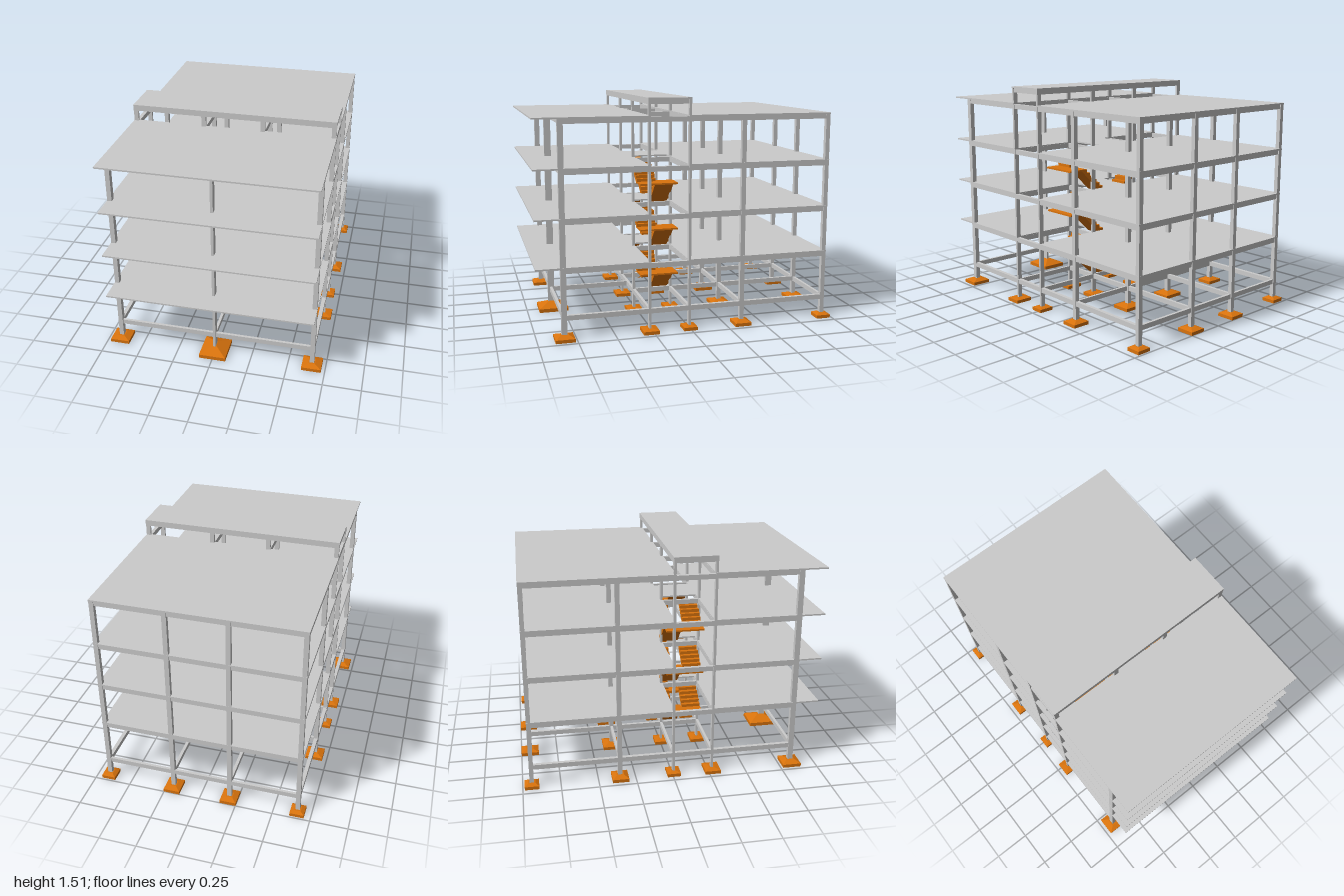
import * as THREE from 'three';

const grey = new THREE.MeshStandardMaterial({ color: 0xcccccc, flatShading: true });
const orange = new THREE.MeshStandardMaterial({ color: 0xd9730d, flatShading: true });

export function createModel() {
  const model = new THREE.Group();
  const parts = {};

  function add(group, name, geometry, material) {
    if (!parts[group]) {
      parts[group] = new THREE.Group();
      parts[group].name = group;
      model.add(parts[group]);
    }
    const mesh = new THREE.Mesh(geometry, material);
    mesh.name = name;
    parts[group].add(mesh);
    return mesh;
  }

  // Box given by its limits on each axis
  function block(group, name, [x0, x1], [y0, y1], [z0, z1], material = grey) {
    const mesh = add(group, name, new THREE.BoxGeometry(x1 - x0, y1 - y0, z1 - z0), material);
    mesh.position.set((x0 + x1) / 2, (y0 + y1) / 2, (z0 + z1) / 2);
  }
  const around = (c, w) => [c - w / 2, c + w / 2];

  // Footing: flat base with a tapered top
  function footing(x, z, w, d, base, height, topW, topD) {
    block('footings', 'footingBase', around(x, w), [0, base], around(z, d), orange);
    const taper = new THREE.BoxGeometry(w, height - base, d);
    const p = taper.attributes.position;
    for (let i = 0; i < p.count; i++) {
      if (p.getY(i) > 0) {
        p.setX(i, Math.sign(p.getX(i)) * topW / 2);
        p.setZ(i, Math.sign(p.getZ(i)) * topD / 2);
      }
    }
    taper.computeVertexNormals();
    add('footings', 'footingTaper', taper, orange).position.set(x, (base + height) / 2, z);
  }

  const floors = [0.47, 0.78, 1.09, 1.4];
  const outerX = 0.66, innerX = 0.197;
  const coreFront = 0.272, coreBack = 0.007;

  // Rows of columns: z, column depth, top, footing sizes of outer and inner columns
  const rows = [
    { z: 0.828, d: 0.036, top: 1.4, outer: [0.13, 0.125], h: 0.037 },
    { z: coreFront, d: 0.016, top: 1.5, outer: [0.12, 0.105], inner: [0.12, 0.105], h: 0.028 },
    { z: coreBack, d: 0.016, top: 1.5, outer: [0.1, 0.09], inner: [0.11, 0.1], h: 0.028 },
    { z: -0.355, d: 0.03, top: 1.4, outer: [0.12, 0.11], inner: [0.14, 0.13], h: 0.036 },
    { z: -0.94, d: 0.028, top: 1.4, outer: [0.095, 0.095], inner: [0.11, 0.12], h: 0.034 },
  ];
  for (const r of rows) {
    for (const s of [-1, 1]) {
      const spots = [[outerX, r.outer]];
      if (r.inner) spots.push([innerX, r.inner]);
      for (const [x, [w, d]] of spots) {
        block('columns', 'column', around(s * x, 0.03), [0.02, r.top], around(r.z, r.d));
        footing(s * x, r.z, w, d, 0.022, r.h, 0.045, r.d + 0.02);
      }
    }
  }
  // Large footing and column in the middle of the front
  block('columns', 'frontMiddleColumn', around(0, 0.018), [0.04, 1.4], around(0.828, 0.045));
  footing(0, 0.82, 0.18, 0.2, 0.025, 0.058, 0.025, 0.05);

  // Beam grids at ground level and under each floor
  for (const top of [0.16, ...floors]) {
    const y = top === 0.16 ? [0.128, 0.16] : [top - 0.04, top - 0.008];
    for (const r of rows) block('beams', 'crossBeam', [-0.675, 0.675], y, around(r.z, 0.018));
    for (const s of [-1, 1]) {
      block('beams', 'sideBeam', around(s * outerX, 0.025), y, [-0.95, 0.838]);
      block('beams', 'innerBeam', around(s * innerX, 0.02), y, [-0.95, coreFront]);
    }
    block('beams', 'middleBeam', around(0, 0.018), y, [coreFront, 0.83]);
  }

  // Floor slabs with ribs below, split by the stair core
  floors.forEach((top, i) => {
    const y = [top - 0.01, top];
    block('slabs', 'frontSlab', [-0.677, 0.677], y, [coreFront - 0.008, 1]);
    block('slabs', 'backSlab', [-0.677, 0.677], y, [-0.955, coreBack + 0.008]);
    if (i < 3) block('slabs', 'hallSlab', [-0.13, 0.13], y, [coreBack, coreFront]);
    for (const [z0, z1] of [[-0.94, -0.355], [-0.355, coreBack], [coreFront, 0.828]]) {
      const n = Math.round((z1 - z0) / 0.06);
      for (let k = 1; k < n; k++) {
        block('ribs', 'rib', [-0.65, 0.65], [top - 0.022, top - 0.009], around(z0 + (z1 - z0) * k / n, 0.018));
      }
    }
  });

  // Raised roof over the stair core
  block('coreRoof', 'roofSlab', [-0.677, 0.677], [1.5, 1.51], [-0.002, 0.281]);
  for (const z of [coreFront, coreBack]) block('coreRoof', 'roofBeam', [-0.677, 0.677], [1.47, 1.501], around(z, 0.017));
  for (const x of [-outerX, -innerX, innerX, outerX]) {
    block('coreRoof', 'roofCrossBeam', around(x, 0.025), [1.47, 1.501], [coreBack, coreFront]);
  }

  // Stepped flight from (x0, y0) to (x1, y1) with a sloping underside
  function flight(s, x0, y0, x1, y1, z0, z1) {
    const steps = 6, run = (x1 - x0) / steps, rise = (y1 - y0) / steps;
    const shape = new THREE.Shape();
    shape.moveTo(s * x0, y0);
    for (let i = 0; i < steps; i++) {
      shape.lineTo(s * (x0 + i * run), y0 + (i + 1) * rise);
      shape.lineTo(s * (x0 + (i + 1) * run), y0 + (i + 1) * rise);
    }
    shape.lineTo(s * (x1 + run * 0.5), y1 - 0.012);
    shape.lineTo(s * (x0 + run * 0.9), y0 - 0.012);
    shape.closePath();
    const geometry = new THREE.ExtrudeGeometry(shape, { depth: z1 - z0, bevelEnabled: false });
    add('stairs', 'flight', geometry, orange).position.z = z0;
  }
  // Mirrored pair of stairs on three storeys
  for (const base of [0.15, 0.46, 0.77]) {
    for (const s of [-1, 1]) {
      flight(s, 0.105, base, 0.282, base + 0.16, 0.008, 0.138);
      flight(s, 0.3, base + 0.16, 0.14, base + 0.285, 0.14, 0.268);
      const xs = s > 0 ? [0.275, 0.4] : [-0.4, -0.275];
      block('stairs', 'landing', xs, [base + 0.15, base + 0.161], [0.008, 0.268], orange);
    }
  }
  return model;
}
